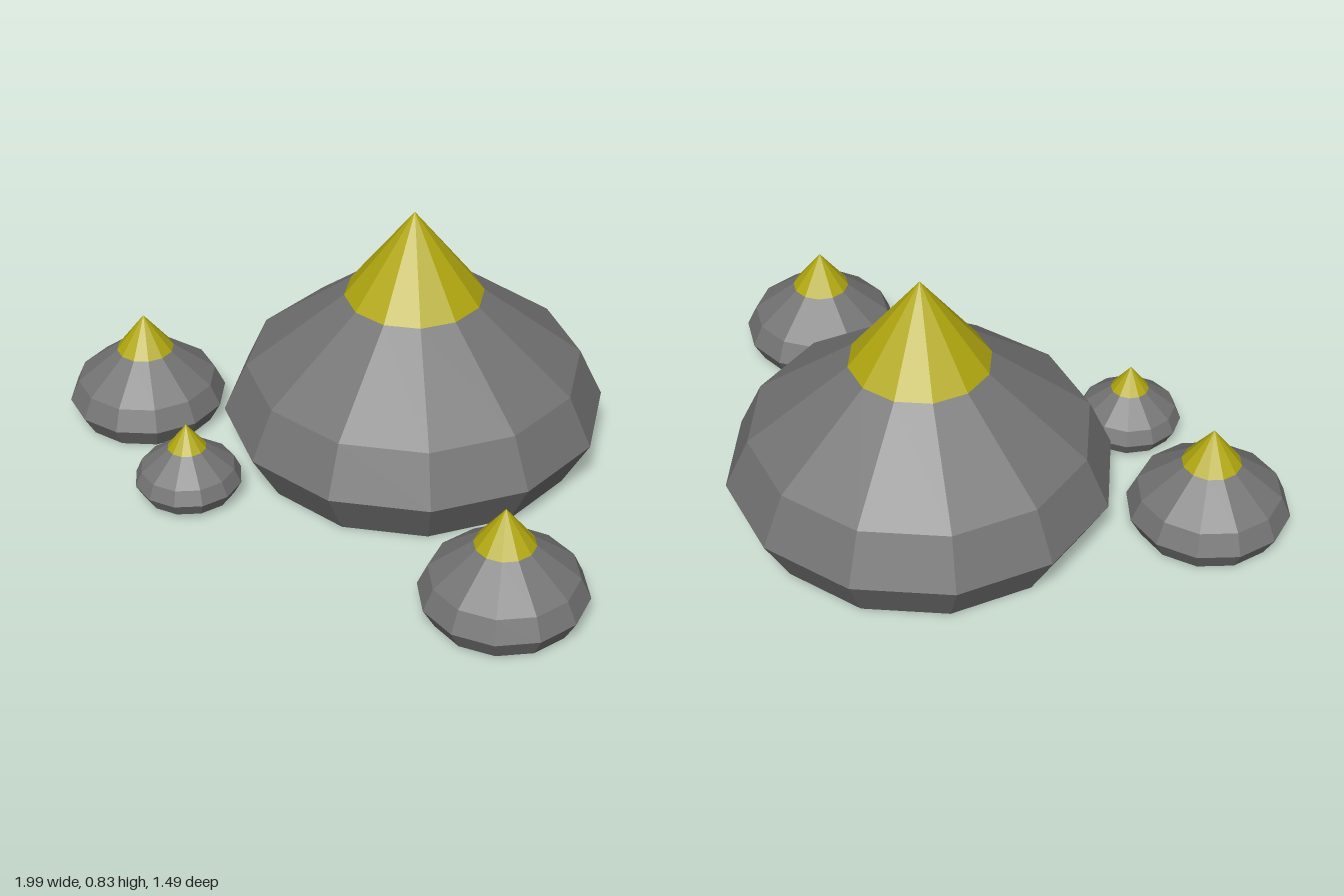
import * as THREE from 'three';

const SIDES = 12;
// Profile of the largest mound as [radius, height]
const BODY = [[0, 0], [0.51, 0], [0.598, 0.155], [0.525, 0.315], [0.217, 0.555]];
const TIP = [[0.217, 0.555], [0, 0.835]];

const bodyMaterial = new THREE.MeshStandardMaterial({ color: 0x747474, flatShading: true });
const tipMaterial = new THREE.MeshStandardMaterial({ color: 0xb2a810, flatShading: true });

// Faceted surface of revolution, turned by an angle in degrees
function turned(name, profile, turn, material) {
  const points = profile.map(([r, y]) => new THREE.Vector2(r, y));
  const geometry = new THREE.LatheGeometry(points, SIDES, THREE.MathUtils.degToRad(turn));
  const mesh = new THREE.Mesh(geometry, material);
  mesh.name = name;
  return mesh;
}

// Dark grey mound with a pointed yellow tip
function createMound({ name, position, width, height, turn }) {
  const mound = new THREE.Group();
  mound.name = name;
  mound.add(turned('body', BODY, turn, bodyMaterial), turned('tip', TIP, turn, tipMaterial));
  mound.position.set(...position);
  mound.scale.set(width, height, width);
  return mound;
}

export function createModel() {
  const model = new THREE.Group();
  model.name = 'moundCluster';
  const mounds = [
    { name: 'largeMound', position: [-0.085, 0, -0.15], width: 1, height: 1, turn: -2.5 },
    { name: 'leftMound', position: [0.753, 0.005, 0.165], width: 0.42, height: 0.425, turn: 15 },
    { name: 'rightMound', position: [-0.748, 0.005, 0.43], width: 0.42, height: 0.425, turn: 4.5 },
    { name: 'smallMound', position: [-0.275, 0.02, 0.577], width: 0.279, height: 0.282, turn: 12 },
  ];
  for (const mound of mounds) model.add(createMound(mound));
  return model;
}
